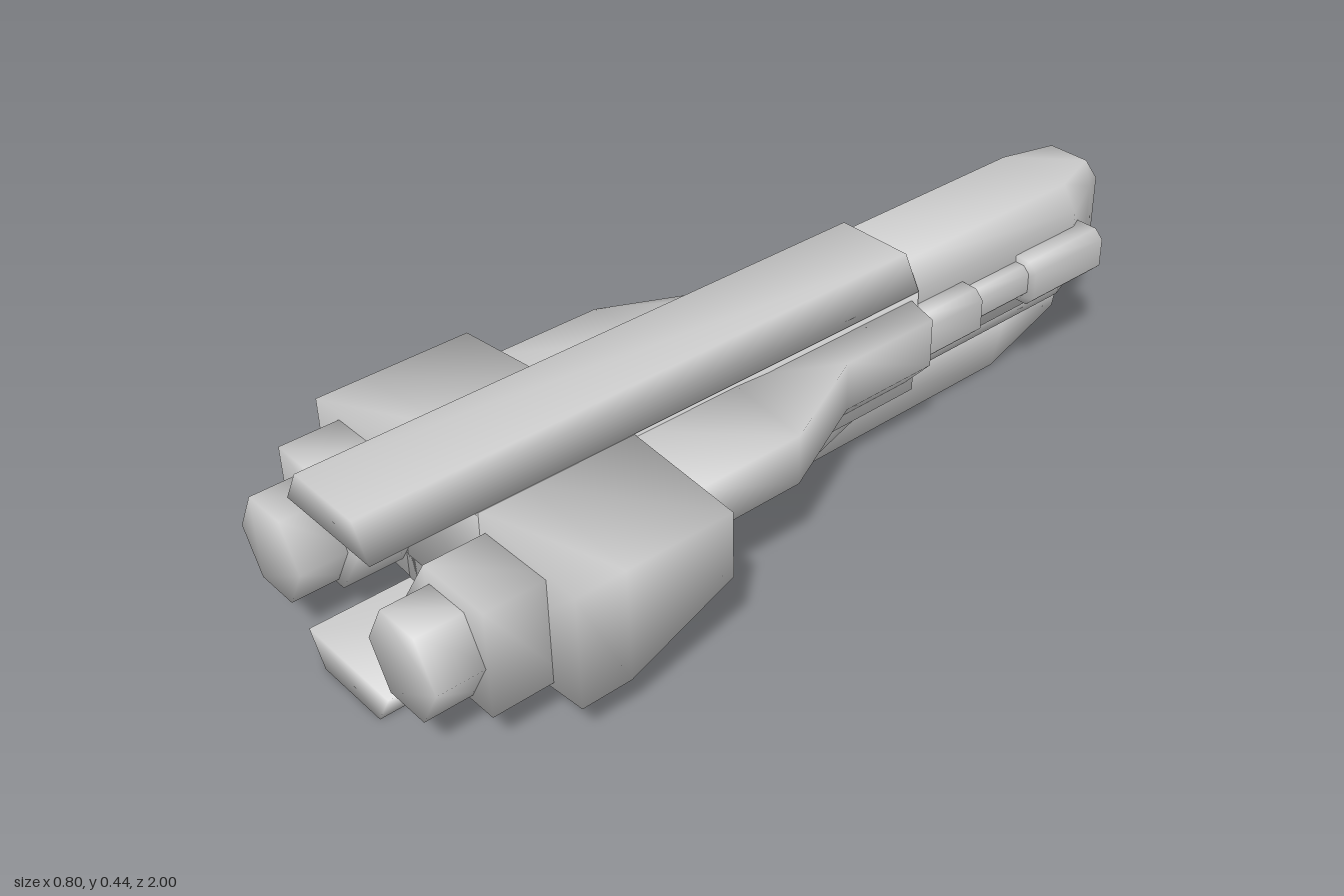
import * as THREE from 'three';

const material = new THREE.MeshStandardMaterial({ color: 0xcccccc, side: THREE.DoubleSide });

// Skin a row of convex cross-sections [z, points], z ascending, points counter-clockwise from +z.
// Corners are shared, so the normals come out smooth.
function loft(name, sections) {
  const n = sections[0][1].length, last = (sections.length - 1) * n;
  const positions = [], index = [];
  for (const [z, ring] of sections) for (const [x, y] of ring) positions.push(x, y, z);
  for (let s = 0; s < last; s += n) {
    for (let j = 0; j < n; j++) {
      const k = (j + 1) % n;
      index.push(s + j, s + k, s + n + k, s + j, s + n + k, s + n + j);
    }
  }
  for (let j = 1; j < n - 1; j++) {
    index.push(0, j + 1, j, last, last + j, last + j + 1);
  }
  const geometry = new THREE.BufferGeometry();
  geometry.setAttribute('position', new THREE.Float32BufferAttribute(positions, 3));
  geometry.setIndex(index);
  geometry.computeVertexNormals();
  const mesh = new THREE.Mesh(geometry, material);
  mesh.name = name;
  return mesh;
}

// Complete a right-hand outline (bottom to top) with its mirror image.
const sym = (half) => [...half, ...half.map(([x, y]) => [-x, y]).reverse()];
const flip = (ring) => ring.map(([x, y]) => [-x, y]).reverse();

// Rectangle with cut outer corners, for the side equipment.
const chamfered = (x0, x1, y0, y1, c) =>
  [[x0, y0], [x1 - c, y0], [x1, y0 + c], [x1, y1 - c], [x1 - c, y1], [x0, y1]];

export function createModel() {
  const model = new THREE.Group();
  model.name = 'spaceship';
  const add = (name, sections) => model.add(loft(name, sections));
  const addPair = (name, sections) => {
    add(name + 'Left', sections);
    add(name + 'Right', sections.map(([z, ring]) => [z, flip(ring)]));
  };
  const prism = (ring, z0, z1) => [[z0, ring], [z1, ring]];

  // Central hull and the spine that overhangs the engines
  add('mainHull', prism(sym([[0.125, 0.13], [0.13, 0.37]]), -0.33, 0.77));
  add('spine', prism(sym([[0.13, 0.372], [0.09, 0.444]]), -0.33, 0.99));

  // Tail chin, rising forward into the hull
  add('tailChin', [
    [0.42, sym([[0.09, 0.13], [0.13, 0.2]])],
    [0.66, sym([[0.09, 0], [0.13, 0.072]])],
    [0.99, sym([[0.09, 0], [0.13, 0.072]])],
  ]);

  // Keels beneath the middle and the nose
  add('middleKeel', [
    [-0.24, sym([[0.08, 0.1], [0.09, 0.14]])],
    [-0.06, sym([[0.055, 0], [0.09, 0.14]])],
    [0.66, sym([[0.055, 0], [0.09, 0.14]])],
  ]);
  add('noseKeel', [
    [-0.85, sym([[0.07, 0.1], [0.08, 0.16]])],
    [-0.68, sym([[0.045, 0], [0.08, 0.16]])],
    [-0.06, sym([[0.045, 0], [0.08, 0.16]])],
  ]);

  // Nose section with a tapered tip, and the plate under it
  const nose = [[0.125, 0.2], [0.125, 0.37], [0.088, 0.425]];
  add('nose', [
    [-1, sym([[0.045, 0.2], [0.045, 0.365], [0.035, 0.372]])],
    [-0.95, sym([[0.068, 0.2], [0.068, 0.37], [0.05, 0.428]])],
    [-0.83, sym(nose)],
    [-0.33, sym(nose)],
  ]);
  add('nosePlate', [
    [-0.98, sym([[0.04, 0.15], [0.045, 0.21]])],
    [-0.83, sym([[0.095, 0.15], [0.11, 0.21]])],
    [-0.33, sym([[0.095, 0.15], [0.11, 0.21]])],
  ]);

  // Flaring side pods
  const pod = (w) => [[0.1, 0.13], [w, 0.23], [w, 0.34], [0.1, 0.368]];
  addPair('sidePod', [[-0.31, pod(0.19)], [-0.07, pod(0.19)], [0.17, pod(0.305)], [0.43, pod(0.305)]]);

  // Wing blocks, with undersides rising toward the nose
  const wing = (inner, outer) => [[0.1, inner], [0.4, outer], [0.4, 0.345], [0.12, 0.372]];
  addPair('wingBlock', [[0.42, wing(0.14, 0.2)], [0.66, wing(0.072, 0.1)], [0.77, wing(0.072, 0.1)]]);
  add('engineBay', [
    [0.42, sym([[0.13, 0.13], [0.13, 0.372]])],
    [0.66, sym([[0.13, 0.072], [0.13, 0.372]])],
    [0.77, sym([[0.13, 0.072], [0.13, 0.372]])],
  ]);

  // Engine housings and hexagonal nozzles
  addPair('engineHousing', prism(
    [[0.147, 0.107], [0.32, 0.107], [0.32, 0.337], [0.147, 0.337], [0.075, 0.222]], 0.74, 0.9));
  const hexagon = Array.from({ length: 6 }, (_, i) =>
    [0.212 + 0.101 * Math.cos(i * Math.PI / 3), 0.212 + 0.107 * Math.sin(i * Math.PI / 3)]);
  addPair('nozzle', prism(hexagon, 0.88, 1));

  // Equipment along the sides of the nose
  addPair('frontSideUnit', prism(chamfered(0.1, 0.183, 0.23, 0.335, 0.02), -0.86, -0.64));
  addPair('sideBarrel', prism(chamfered(0.1, 0.163, 0.245, 0.32, 0.015), -0.64, -0.47));
  addPair('rearSideUnit', prism(chamfered(0.1, 0.183, 0.23, 0.338, 0.02), -0.47, -0.3));

  return model;
}
